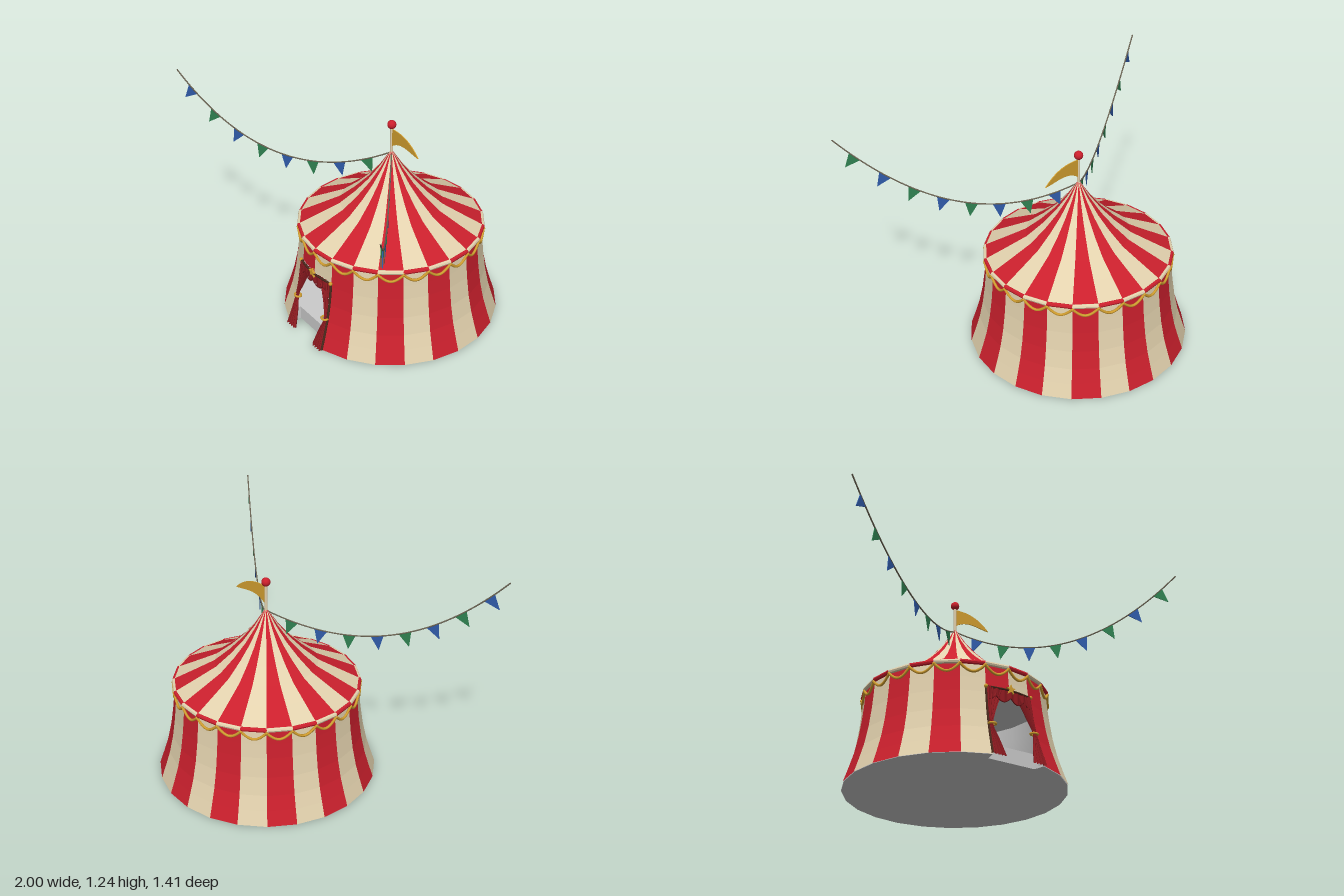
import * as THREE from 'three';
import { mergeGeometries } from 'three/addons/utils/BufferGeometryUtils.js';

const SIDES = 24, STEP = (Math.PI * 2) / SIDES;
const V = (x, y, z) => new THREE.Vector3(x, y, z);
const mat = (color, extra = {}) => new THREE.MeshStandardMaterial({ color, ...extra });
const DS = { side: THREE.DoubleSide };
const RED = 0xcb202d, CREAM = 0xe3d2ae, GOLD = 0xd4a030, CURTAIN = 0x8e1a20;
const BLUE = 0x2f5aa8, GREEN = 0x2f8050, ROPE = 0x6e6655;

// radius and height pairs
const WALL = [[0.605, 0], [0.578, 0.08], [0.553, 0.16], [0.531, 0.26], [0.515, 0.37], [0.507, 0.45], [0.5, 0.535]];
const ROOF = [[0.512, 0.54], [0.385, 0.605], [0.28, 0.66], [0.195, 0.73], [0.125, 0.8], [0.062, 0.88], [0.008, 0.965]];

function wallRadius(y) {
  for (let i = 1; i < WALL.length; i++) {
    const [r0, y0] = WALL[i - 1], [r1, y1] = WALL[i];
    if (y <= y1) return r0 + ((r1 - r0) * (y - y0)) / (y1 - y0);
  }
  return 0.5;
}
const points = (profile, dr = 0) => profile.map(([r, y]) => new THREE.Vector2(r + dr, y));
const onRim = (k, r, y) => V(r * Math.sin(k * STEP), y, r * Math.cos(k * STEP));

function add(parent, name, geometry, material) {
  const mesh = new THREE.Mesh(geometry, material);
  mesh.name = name;
  parent.add(mesh);
  return mesh;
}
function tube(pts, r, n = 12, sides = 6) {
  return new THREE.TubeGeometry(new THREE.CatmullRomCurve3(pts), n, r, sides);
}

// alternating coloured pieces, one per side, merged by colour
function striped(parent, name, makePiece, swap = 0) {
  const sets = [[], []];
  for (let k = 0; k < SIDES; k++) sets[(k + swap) % 2].push(makePiece(k));
  add(parent, name + 'Cream', mergeGeometries(sets[0]), mat(CREAM, { flatShading: true }));
  add(parent, name + 'Red', mergeGeometries(sets[1]), mat(RED, { flatShading: true }));
}

// floor outline with a recess at the doorway
function floor(r, y, h) {
  const pts = [new THREE.Vector2(0.14, -0.52)];
  for (let k = 1; k < SIDES; k++) {
    const p = onRim(k, r, 0);
    pts.push(new THREE.Vector2(p.x, -p.z));
  }
  pts.push(new THREE.Vector2(-0.14, -0.52));
  const g = new THREE.ExtrudeGeometry(new THREE.Shape(pts), { depth: h, bevelEnabled: false });
  return g.rotateX(-Math.PI / 2).translate(0, y, 0);
}

// cloth grid placed by a rule (u, v in 0..1)
function cloth(nu, nv, rule) {
  const g = new THREE.PlaneGeometry(1, 1, nu, nv), p = g.attributes.position;
  for (let i = 0; i < p.count; i++) p.setXYZ(i, ...rule(p.getX(i) + 0.5, p.getY(i) + 0.5));
  g.computeVertexNormals();
  return g;
}

function doorway() {
  const door = new THREE.Group();
  door.name = 'doorway';
  const gold = mat(GOLD), red = mat(CURTAIN, DS), dark = mat(0x4a2a1c);
  // inner edge of the tied-back curtain, rising from the ground
  const edge = new THREE.CatmullRomCurve3([V(0.082, 0, 0), V(0.1, 0.09, 0), V(0.122, 0.18, 0),
    V(0.1, 0.25, 0), V(0.07, 0.32, 0), V(0.03, 0.395, 0)]);
  for (const s of [1, -1]) {
    const side = new THREE.Group();
    side.name = s > 0 ? 'leftDoorSide' : 'rightDoorSide';
    side.scale.x = s;
    add(side, 'curtain', cloth(24, 20, (u, v) => {
      const e = edge.getPoint(v), R = wallRadius(e.y), outer = R * Math.sin(STEP) + 0.002;
      const fold = 0.009 * Math.sin(u * Math.PI * 8) * (0.5 + 0.5 * Math.abs(v - 0.45) * 2);
      return [outer + (e.x - outer) * u, e.y, R * Math.cos(STEP) + 0.012 + fold];
    }), red);
    const post = [0, 0.13, 0.26, 0.4].map((y) => onRim(1, wallRadius(y) + 0.002, y));
    add(side, 'doorPost', tube(post, 0.007), dark);
    const tie = add(side, 'curtainTie', new THREE.TorusGeometry(0.016, 0.006, 6, 14), gold);
    tie.rotation.x = Math.PI / 2;
    tie.scale.x = 1.2;
    tie.position.set(0.128, 0.18, wallRadius(0.18) * Math.cos(STEP) + 0.012);
    add(side, 'rodKnob', new THREE.SphereGeometry(0.011, 10, 8), gold).position.set(0.138, 0.397, 0.505);
    door.add(side);
  }
  // draped valance and its fringe
  const hem = (x) => 0.352 - 0.026 * Math.abs(Math.sin((x / 0.13) * Math.PI * 1.5));
  const valanceZ = (x) => 0.523 - 0.1 * Math.abs(x);
  add(door, 'valance', cloth(36, 4, (u, v) => {
    const x = (u - 0.5) * 0.26, low = hem(x);
    return [x, low + (0.4 - low) * v, valanceZ(x) + 0.004 * Math.sin(u * 40)];
  }), red);
  const fringe = [];
  for (let i = 0; i <= 24; i++) {
    const x = (i / 24 - 0.5) * 0.26;
    fringe.push(V(x, hem(x), valanceZ(x) + 0.002));
  }
  add(door, 'valanceFringe', tube(fringe, 0.003, 48, 5), mat(0x6b1216));
  add(door, 'curtainRod', tube([V(-0.14, 0.397, 0.505), V(0, 0.397, 0.523), V(0.14, 0.397, 0.505)], 0.006), dark);
  // star ornament
  const star = new THREE.Shape();
  for (let i = 0; i < 10; i++) {
    const r = i % 2 ? 0.012 : 0.028, a = (i * Math.PI) / 5;
    star[i ? 'lineTo' : 'moveTo'](r * Math.sin(a), r * Math.cos(a));
  }
  add(door, 'starOrnament', new THREE.ExtrudeGeometry(star, { depth: 0.012, bevelEnabled: false }), gold)
    .position.set(0, 0.4, 0.52);
  return door;
}

// sagging rope with eight pennants
function bunting(name, end, bow, firstColor, secondColor) {
  const g = new THREE.Group();
  g.name = name;
  const start = V(0.04, 0.96, -0.1);
  const at = (t) => {
    const p = start.clone().lerp(end, t), q = 4 * t * (1 - t);
    p.y -= 0.243 * q;
    p.z += bow * q;
    return p;
  };
  const path = [];
  for (let i = 0; i <= 20; i++) path.push(at(i / 20));
  add(g, 'rope', tube(path, 0.004, 48, 6), mat(ROPE));
  const tri = new THREE.Shape([new THREE.Vector2(-0.034, 0), new THREE.Vector2(0, -0.083), new THREE.Vector2(0.034, 0)]);
  const flagGeo = new THREE.ExtrudeGeometry(tri, { depth: 0.004, bevelEnabled: false }).translate(0, 0, -0.002);
  const mats = [mat(firstColor), mat(secondColor)];
  for (let i = 0; i < 8; i++) {
    const t = 0.1 + 0.1165 * i;
    const X = at(t + 0.02).sub(at(t - 0.02)).normalize();
    const Z = X.clone().cross(V(0, 1, 0)).normalize();
    const m = add(g, 'pennant', flagGeo, mats[i % 2]);
    m.quaternion.setFromRotationMatrix(new THREE.Matrix4().makeBasis(X, Z.clone().cross(X), Z));
    m.position.copy(at(t));
  }
  return g;
}

export function createModel() {
  const model = new THREE.Group();
  model.name = 'circusTent';
  const tent = new THREE.Group();
  tent.name = 'tent';
  tent.position.set(0.04, 0, -0.1);
  model.add(tent);

  // striped wall, open below the lintel on the two front sides
  const lintel = [[wallRadius(0.395), 0.395], [0.507, 0.45], [0.5, 0.535]];
  striped(tent, 'wall', (k) =>
    new THREE.LatheGeometry(points(k === 0 || k === SIDES - 1 ? lintel : WALL), 1, k * STEP, STEP));
  striped(tent, 'roof', (k) => new THREE.LatheGeometry(points(ROOF), 1, k * STEP, STEP));

  // rounded eave rail
  striped(tent, 'eaveRail', (k) => new THREE.TubeGeometry(
    new THREE.LineCurve3(onRim(k, 0.503, 0.535), onRim(k + 1, 0.503, 0.535)), 1, 0.0125, 8), 1);

  // gold swags under the eave
  const swags = [], beads = [];
  for (let k = 0; k < SIDES; k++) {
    const a = onRim(k, 0.51, 0.522), b = onRim(k + 1, 0.51, 0.522), pts = [];
    for (let i = 0; i <= 8; i++) {
      const p = a.clone().lerp(b, i / 8);
      p.y -= 0.042 * Math.sin((i / 8) * Math.PI);
      pts.push(p);
    }
    swags.push(tube(pts, 0.0075, 12, 6));
    beads.push(new THREE.SphereGeometry(0.009, 8, 6).translate(a.x, a.y, a.z));
  }
  add(tent, 'eaveSwags', mergeGeometries([...swags, ...beads]), mat(GOLD));

  // plain interior and floor
  const grey = mat(0xcccccc);
  add(tent, 'wallLining', new THREE.LatheGeometry(points(WALL, -0.012), SIDES - 2, STEP, Math.PI * 2 - 2 * STEP),
    mat(0xcccccc, { side: THREE.BackSide }));
  add(tent, 'ceiling', new THREE.CircleGeometry(0.495, SIDES).rotateX(Math.PI / 2).translate(0, 0.525, 0), grey);
  add(tent, 'groundSheet', floor(0.6, 0, 0.01), grey);
  add(tent, 'floor', floor(0.564, 0.01, 0.07), grey);
  tent.add(doorway());

  // pole, ball and flag
  add(tent, 'pole', new THREE.CylinderGeometry(0.008, 0.008, 0.17, 10), mat(CREAM)).position.y = 1.03;
  add(tent, 'poleBall', new THREE.SphereGeometry(0.024, 20, 14), mat(RED)).position.y = 1.125;
  const flag = new THREE.Shape();
  flag.moveTo(0.006, 1.1);
  flag.bezierCurveTo(0.07, 1.105, 0.15, 1.1, 0.225, 1.022);
  flag.bezierCurveTo(0.15, 1.025, 0.08, 1.06, 0.006, 0.998);
  add(tent, 'flag', new THREE.ExtrudeGeometry(flag, { depth: 0.005, bevelEnabled: false, curveSegments: 12 }), mat(GOLD))
    .position.z = -0.0025;

  model.add(bunting('leftBunting', V(0.998, 1.235, 0.7), 0, BLUE, GREEN));
  model.add(bunting('rightBunting', V(-0.998, 1.235, 0.585), 0.05, GREEN, BLUE));
  return model;
}
